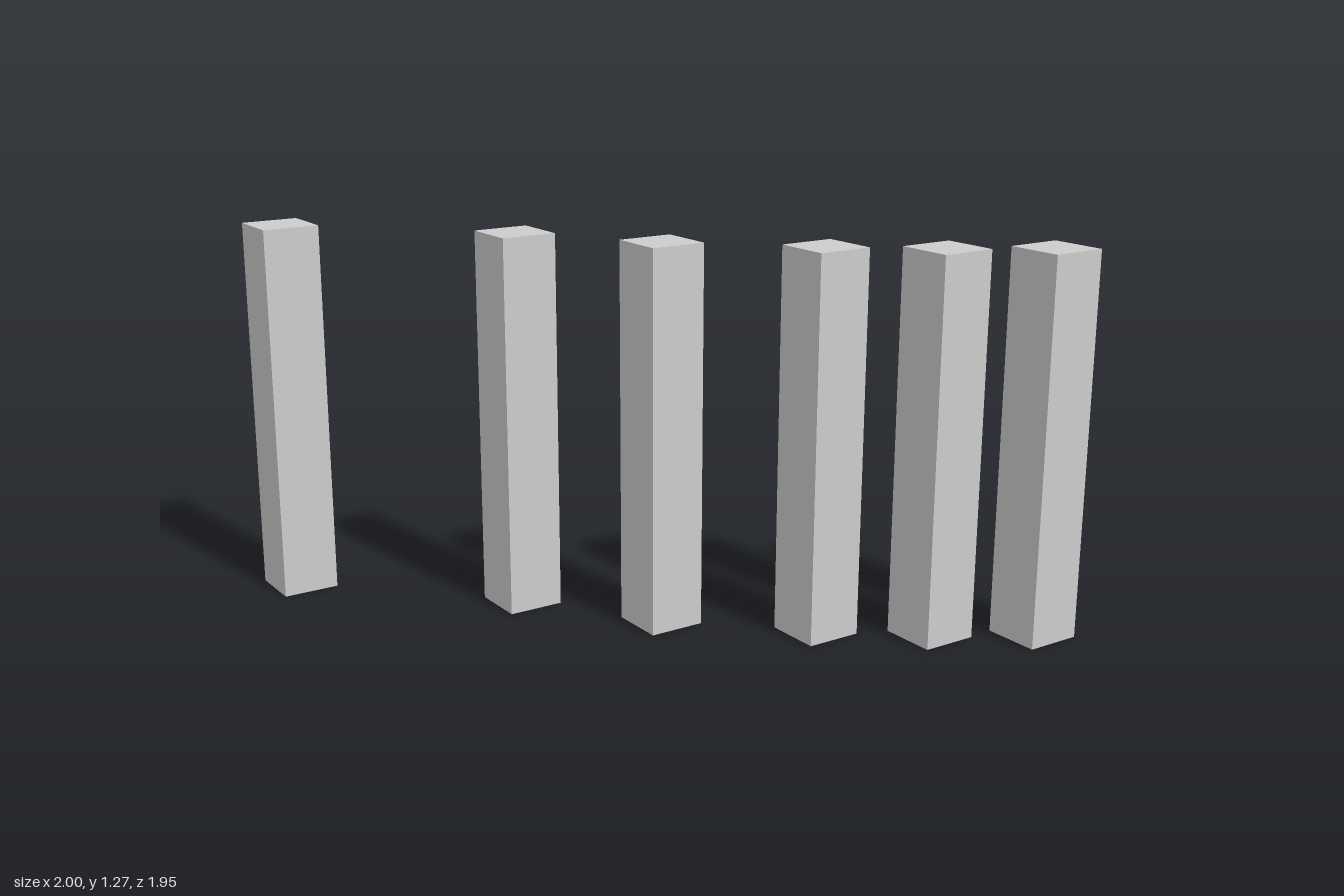
import * as THREE from 'three';

const SIDE = 0.191;
const HEIGHT = 1.272;

// Pillar centres on the ground, as [x, z], from back to front
const CENTRES = [
  [-0.904, -0.877],
  [-0.333, -0.304],
  [-0.039, 0.111],
  [0.333, 0.465],
  [0.624, 0.694],
  [0.904, 0.877],
];

export function createModel() {
  const group = new THREE.Group();
  group.name = 'pillarRow';
  const material = new THREE.MeshStandardMaterial({ color: 0xcccccc, flatShading: true });
  const geometry = new THREE.BoxGeometry(SIDE, HEIGHT, SIDE);

  // Identical square pillars standing on the ground
  CENTRES.forEach(([x, z], i) => {
    const pillar = new THREE.Mesh(geometry, material);
    pillar.name = `pillar${i + 1}`;
    pillar.position.set(x, HEIGHT / 2, z);
    group.add(pillar);
  });
  return group;
}
